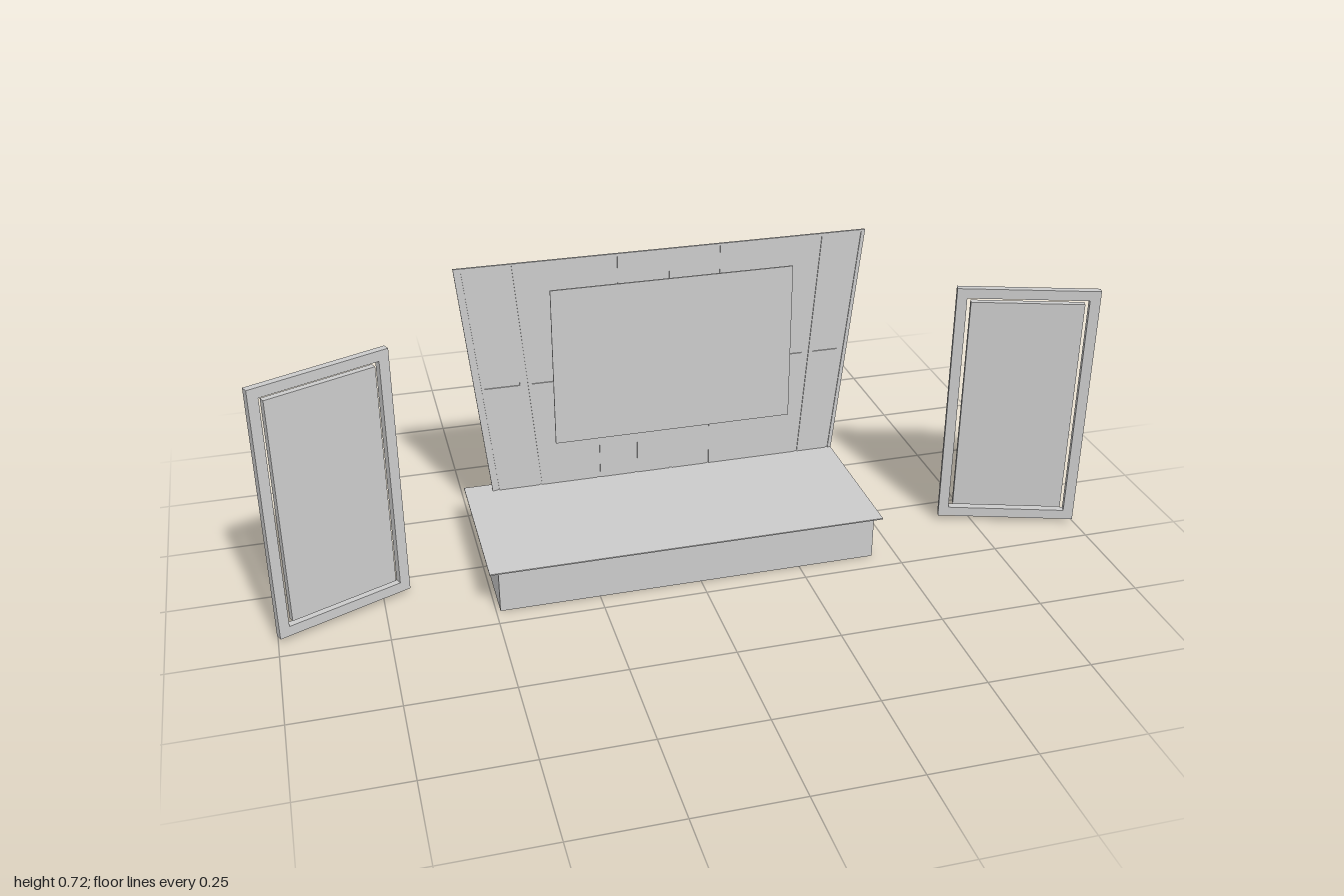
import * as THREE from 'three';

const grey = new THREE.MeshStandardMaterial({ color: 0xcccccc, flatShading: true });

function add(parent, name, geometry, x = 0, y = 0, z = 0) {
  const mesh = new THREE.Mesh(geometry, grey);
  mesh.name = name;
  mesh.position.set(x, y, z);
  parent.add(mesh);
  return mesh;
}

const polygon = (Type, points) => new Type(points.map(([x, y]) => new THREE.Vector2(x, y)));
const rect = (w, h) => [[-w / 2, -h / 2], [w / 2, -h / 2], [w / 2, h / 2], [-w / 2, h / 2]];
const extrude = (shape, depth) => new THREE.ExtrudeGeometry(shape, { depth, bevelEnabled: false });

// Upright display panel: a frame with a separate infill and an open gap between them
function sidePanel(name, x, z, width, angle) {
  const height = 0.633, border = 0.025, gap = 0.01, depth = 0.018;
  const panel = new THREE.Group();
  panel.name = name;
  const frame = polygon(THREE.Shape, rect(width, height));
  const w = width - 2 * border, h = height - 2 * border;
  frame.holes.push(polygon(THREE.Path, rect(w, h)));
  add(panel, 'panelFrame', extrude(frame, depth), 0, 0, -depth / 2);
  add(panel, 'panelInfill', new THREE.BoxGeometry(w - 2 * gap, h - 2 * gap, depth - 0.002));
  panel.position.set(x, 0.012 + height / 2, z);
  panel.rotation.y = THREE.MathUtils.degToRad(angle);
  return panel;
}

// Tapered back wall: a plain sheet behind a facing cut by narrow seams
function backWall() {
  const wall = new THREE.Group();
  wall.name = 'backWall';
  const outline = [[-0.438, 0.063], [0.457, 0.063], [0.525, 0.717], [-0.505, 0.717]];
  add(wall, 'wallSheet', extrude(polygon(THREE.Shape, outline), 0.003), 0, 0, -0.179);

  const facing = polygon(THREE.Shape, outline);
  const seam = (x0, y0, x1, y1) => {
    const g = 0.004;
    const [dx, dy] = Math.abs(x1 - x0) > Math.abs(y1 - y0) ? [0, g] : [g, 0];
    facing.holes.push(polygon(THREE.Path, [
      [x0 - dx, y0 - dy], [x1 - dx, y1 - dy], [x1 + dx, y1 + dy], [x0 + dx, y0 + dy]]));
  };
  const low = 0.075, high = 0.712, mid = 0.4;
  // slanted seams beside the edges
  seam(-0.426, low, -0.491, high);
  seam(0.445, low, 0.511, high);
  seam(-0.317, low, -0.37, high);
  seam(0.36, low, 0.408, high);
  // short seams above and below the screen
  for (const x of [-0.113, 0.016, 0.145]) seam(x, 0.6, x, high);
  for (const x of [-0.168, -0.07, 0.022, 0.12]) seam(x, low, x, 0.28);
  // level seams at mid height
  seam(-0.448, mid, -0.36, mid);
  seam(-0.33, mid, -0.25, mid);
  seam(0.3, mid, 0.37, mid);
  seam(0.4, mid, 0.465, mid);
  add(wall, 'wallFacing', extrude(facing, 0.003), 0, 0, -0.1765);
  return wall;
}

export function createModel() {
  const model = new THREE.Group();
  model.name = 'stageSet';

  // Platform with a thin overhanging deck
  add(model, 'platform', new THREE.BoxGeometry(0.93, 0.106, 0.398), -0.025, 0.053, 0.001);
  add(model, 'deck', new THREE.BoxGeometry(0.972, 0.003, 0.414), -0.025, 0.1075, 0);

  // Backdrop and the screen in front of it
  model.add(backWall());
  add(model, 'screen', new THREE.BoxGeometry(0.61, 0.413, 0.004), 0.024, 0.4435, -0.148);

  // Angled panels on both sides
  model.add(sidePanel('rightPanel', -0.843, 0.125, 0.337, 23.5));
  model.add(sidePanel('leftPanel', 0.833, 0.126, 0.342, -18.2));
  return model;
}
